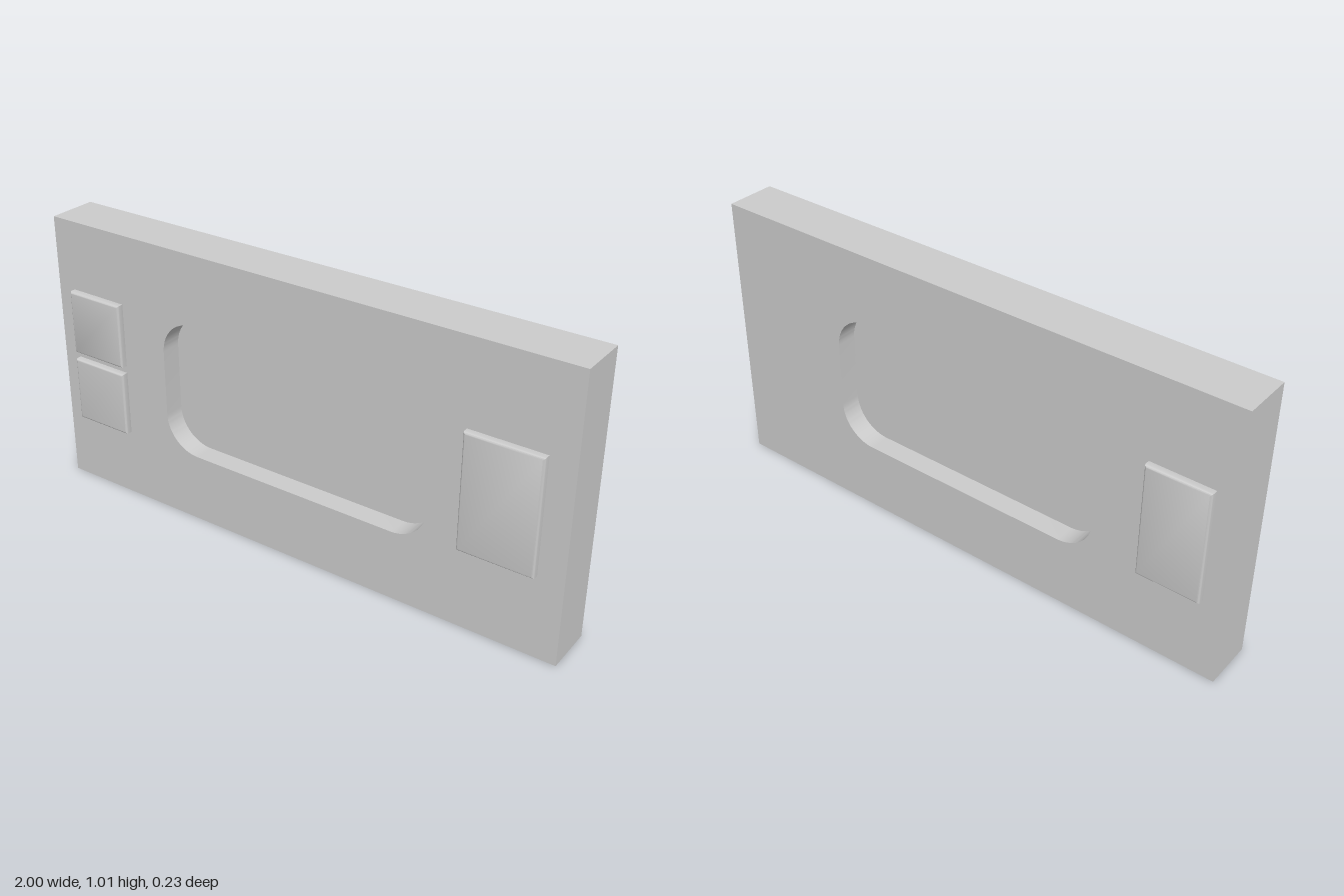
import * as THREE from 'three';
import { toCreasedNormals } from 'three/addons/utils/BufferGeometryUtils.js';

const HEIGHT = 1.01, HALF = 0.09, RECESS = 0.075;

// Rounded rectangle, given by its edges
function outline(target, x0, x1, y0, y1, r) {
  target.moveTo(x0 + r, y0);
  target.lineTo(x1 - r, y0);
  target.absarc(x1 - r, y0 + r, r, -Math.PI / 2, 0);
  target.lineTo(x1, y1 - r);
  target.absarc(x1 - r, y1 - r, r, 0, Math.PI / 2);
  target.lineTo(x0 + r, y1);
  target.absarc(x0 + r, y1 - r, r, Math.PI / 2, Math.PI);
  target.lineTo(x0, y0 + r);
  target.absarc(x0 + r, y0 + r, r, Math.PI, Math.PI * 1.5);
  return target;
}

function rectangle(x0, x1, y0, y1) {
  return new THREE.Shape([[x0, y0], [x1, y0], [x1, y1], [x0, y1]].map(p => new THREE.Vector2(...p)));
}

export function createModel() {
  const model = new THREE.Group();
  model.name = 'controlPanel';
  const material = new THREE.MeshStandardMaterial({ color: 0xcccccc });

  const add = (name, geometry) => {
    const mesh = new THREE.Mesh(geometry, material);
    mesh.name = name;
    model.add(mesh);
    return mesh;
  };

  const window_ = [-0.527, 0.527, 0.255, 0.755, 0.13];

  // Slab with a rounded opening
  const slab = rectangle(-1, 1, 0, HEIGHT);
  slab.holes.push(outline(new THREE.Path(), ...window_));
  const frame = new THREE.ExtrudeGeometry(slab, { depth: 2 * HALF, bevelEnabled: false, curveSegments: 12 });
  frame.translate(0, 0, -HALF);
  add('frame', toCreasedNormals(frame, 0.6));

  // Floors of the front and back recesses
  for (const side of [1, -1]) {
    const floor = new THREE.ShapeGeometry(outline(new THREE.Shape(), ...window_), 12);
    if (side < 0) floor.rotateY(Math.PI);
    floor.translate(0, 0, side * (HALF - RECESS));
    add(side > 0 ? 'frontRecessFloor' : 'backRecessFloor', floor);
  }

  // Raised pads with softened outer edges, seated slightly in the slab
  const bevel = 0.008;
  const pad = (name, x0, x1, y0, y1, back = false) => {
    const geometry = new THREE.ExtrudeGeometry(rectangle(x0, x1, y0, y1), {
      depth: 0.03, bevelThickness: bevel, bevelSize: bevel, bevelOffset: -bevel, bevelSegments: 4,
    });
    geometry.translate(0, 0, 0.115 - bevel - 0.03);
    if (back) geometry.rotateY(Math.PI);
    add(name, toCreasedNormals(geometry, 0.6));
  };
  pad('upperSmallPad', -0.93, -0.705, 0.52, 0.755);
  pad('lowerSmallPad', -0.93, -0.705, 0.255, 0.493);
  pad('largePad', 0.645, 0.91, 0.297, 0.712);
  pad('backPad', 0.705, 0.93, 0.297, 0.71, true);

  return model;
}
